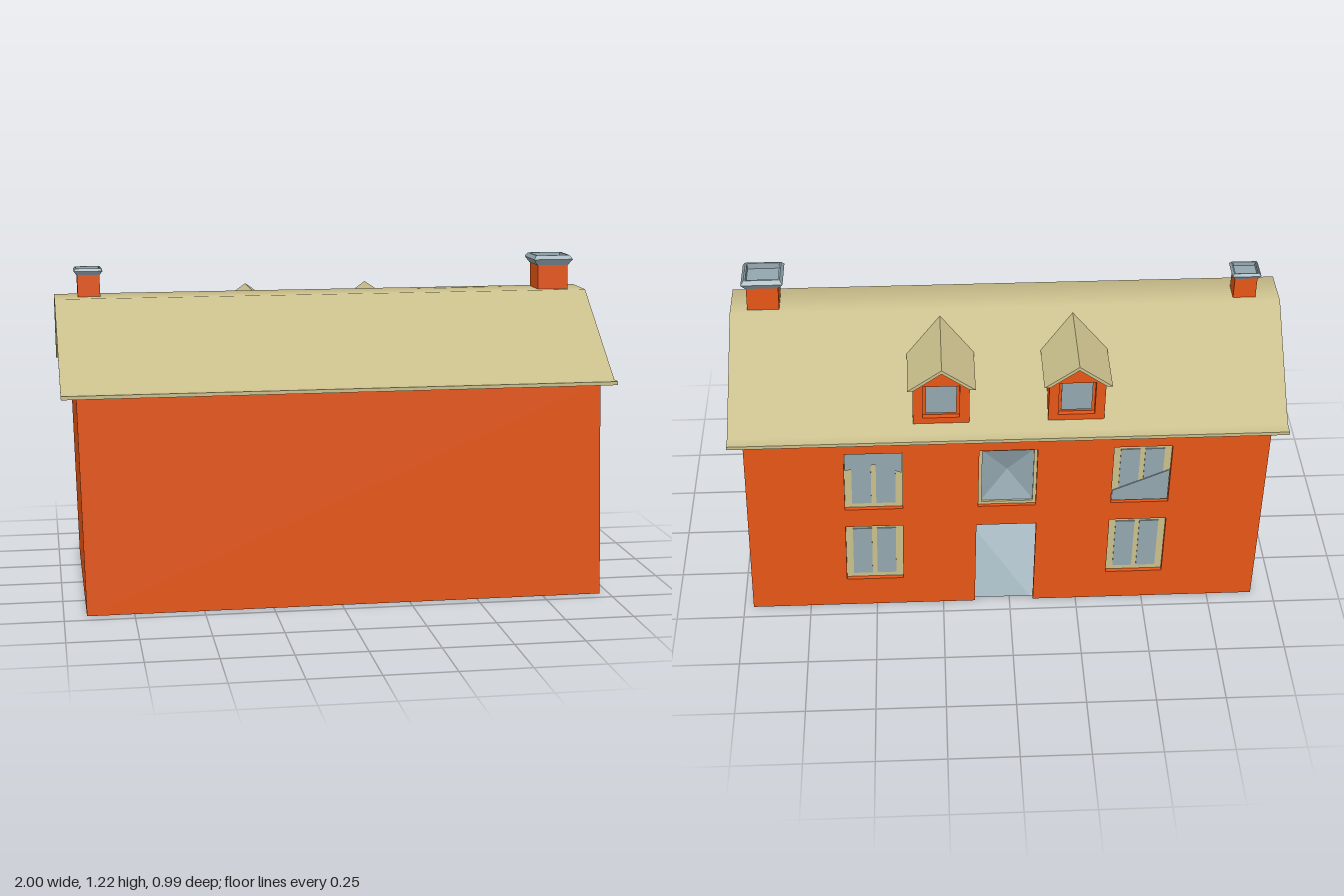
import * as THREE from 'three';

const material = (name, color) => {
  const m = new THREE.MeshStandardMaterial({ color });
  m.name = name;
  return m;
};

const shapeOf = (pts) => new THREE.Shape(pts.map(([x, y]) => new THREE.Vector2(x, y)));
const rect = (cx, y0, y1, w) => [[cx - w / 2, y0], [cx + w / 2, y0], [cx + w / 2, y1], [cx - w / 2, y1]];
const extrude = (shape, depth) => new THREE.ExtrudeGeometry(shape, { depth, bevelEnabled: false });
const box = (w, h, d, x, y, z) => new THREE.BoxGeometry(w, h, d).translate(x, y, z);

// Extrudes a [z, y] profile along x from x0 to x1
const extrudeX = (pts, x0, x1) =>
  extrude(shapeOf(pts.map(([z, y]) => [-z, y])), x1 - x0).rotateY(Math.PI / 2).translate(x0, 0, 0);

const flat = (geo) => {
  const g = geo.index ? geo.toNonIndexed() : geo;
  g.computeVertexNormals();
  return g;
};

export function createModel() {
  const house = new THREE.Group();
  house.name = 'house';
  const brick = material('brick orange', 0xe65516);
  const tan = material('roof tan', 0xcabf8c);
  const grey = material('slate grey', 0x93a6af);
  const greySheet = material('interior grey', 0x93a6af);
  greySheet.side = THREE.DoubleSide;

  const add = (name, geo, mat, parent = house) => {
    // Whole building leans slightly sideways with height
    const p = geo.attributes.position;
    for (let i = 0; i < p.count; i++) p.setX(i, p.getX(i) + 0.025 * (0.93 - p.getY(i)));
    const mesh = new THREE.Mesh(geo, mat);
    mesh.name = name;
    parent.add(mesh);
    return mesh;
  };

  // Outer walls, open underneath
  const xL = -0.942, xR = 0.943;
  const gable = [[-0.445, 0], [0.45, 0], [0.45, 0.787], [0.08, 1.075], [-0.08, 1.075], [-0.445, 0.787]];
  add('rightGable', extrudeX(gable, xL, xL + 0.01), brick);
  add('leftGable', extrudeX(gable, xR - 0.01, xR), brick);
  add('plainWall', box(xR - xL, 0.795, 0.01, (xL + xR) / 2, 0.3975, 0.445), brick);

  // Wall with doorway and window openings
  const facade = shapeOf([
    [xL, 0], [-0.112, 0], [-0.112, 0.372], [0.108, 0.372], [0.108, 0], [xR, 0], [xR, 0.795], [xL, 0.795],
  ]);
  const W = 0.21, H = 0.255;
  const windows = [[0.483, 0.125], [-0.487, 0.125], [0.483, 0.46], [-0.002, 0.46], [-0.487, 0.46]];
  for (const [x, y] of windows) facade.holes.push(new THREE.Path(shapeOf(rect(x, y, y + H, W)).getPoints()));
  add('facade', extrude(facade, 0.018).translate(0, 0, -0.445), brick);

  // Windows: tan panel with two tall panes; the middle one is a faceted fan
  for (const [x, y] of windows) {
    const win = new THREE.Group();
    win.name = 'window';
    house.add(win);
    const cy = y + H / 2;
    if (Math.abs(x) > 0.1) {
      add('windowPanel', box(W + 0.01, H + 0.01, 0.008, x, cy, -0.425), tan, win);
      for (const s of [-1, 1]) add('pane', box(0.07, 0.215, 0.006, x + s * 0.044, cy, -0.43), grey, win);
    } else {
      const frame = shapeOf(rect(x, y - 0.005, y + H + 0.005, W + 0.01));
      frame.holes.push(new THREE.Path(shapeOf(rect(x, y + 0.012, y + H - 0.012, W - 0.024)).getPoints()));
      add('windowFrame', extrude(frame, 0.008).translate(0, 0, -0.432), tan, win);
      const fan = new THREE.ConeGeometry(Math.SQRT1_2, 0.04, 4, 1, true);
      fan.rotateY(Math.PI / 4).rotateX(Math.PI / 2).scale(W, H, 1).translate(x, cy, -0.408);
      add('facetedPane', flat(fan), greySheet, win);
    }
  }

  // Slanted grey sheets across the upper side windows
  const shards = [
    [[0.585, 0.71], [0.381, 0.71], [0.381, 0.62], [0.48, 0.66], [0.585, 0.635]],
    [[-0.59, 0.465], [-0.385, 0.465], [-0.385, 0.51], [-0.5, 0.56], [-0.59, 0.6]],
  ];
  for (const s of shards) add('windowSheet', extrude(shapeOf(s), 0.004).translate(0, 0, -0.437), grey);

  // Crumpled inner floor rising from the doorway, and the storey above it
  const K = [0.935, 0.002, -0.43], A = [0.935, 0.002, 0], B = [0.3, 0.002, 0.44], C = [0.09, 0.002, 0.44];
  const D = [0.22, 0.18, 0], E = [-0.83, 0.002, 0.44], F = [-0.56, 0.33, 0], G = [-0.93, 0.002, -0.43];
  const S = [-0.86, 0.18, 0.3], M = [-0.1, 0.002, -0.43];
  const sheet = new THREE.BufferGeometry();
  const tris = [A, B, D, K, A, D, B, C, D, D, E, F, E, S, F, S, G, F, K, D, M, D, F, M, F, G, M];
  sheet.setAttribute('position', new THREE.Float32BufferAttribute(tris.flat(), 3));
  add('innerFloor', flat(sheet), greySheet);
  add('innerCeiling', box(1.86, 0.008, 0.85, 0, 0.42, 0), grey);

  // Main roof: top normals are shared across ridge and eave bends for soft shading
  const roofHalf = [[0.08, 1.087], [0.45, 0.803], [0.497, 0.803], [0.497, 0.79], [0.445, 0.79], [0.076, 1.074]];
  const mirror = roofHalf.map(([z, y]) => [-z, y]).reverse();
  const roof = extrudeX([...roofHalf, ...mirror], -0.995, 0.995);
  const rp = roof.attributes.position, rn = roof.attributes.normal;
  for (let i = 0; i < rp.count; i++) {
    if (rn.getY(i) < 0.5) continue;
    const tilt = Math.abs(rp.getZ(i)) > 0.48 ? 0 : 0.33 * Math.sign(rp.getZ(i));
    rn.setXYZ(i, 0, Math.sqrt(1 - tilt * tilt), tilt);
  }
  add('mainRoof', roof, tan);

  // Dormers
  for (const x of [-0.24, 0.24]) {
    const dormer = new THREE.Group();
    dormer.name = 'dormer';
    house.add(dormer);
    const face = shapeOf([[-0.1, 0.8], [0.1, 0.8], [0.1, 0.99], [0, 1.06], [-0.1, 0.99]]);
    face.holes.push(new THREE.Path(shapeOf(rect(0, 0.85, 0.985, 0.13)).getPoints()));
    add('dormerFace', extrude(face, 0.025).translate(x, 0, -0.42), brick, dormer);
    add('dormerSides', extrudeX([[-0.4, 0.82], [-0.4, 0.99], [-0.19, 0.99]], x - 0.1, x + 0.1), brick, dormer);
    add('dormerPane', box(0.11, 0.115, 0.006, x, 0.9175, -0.402), grey, dormer);

    // Gabled cover whose back end follows the main slope
    const cover = extrude(shapeOf([
      [-0.12, 0.985], [-0.1, 0.985], [0, 1.056], [0.1, 0.985], [0.12, 0.985], [0, 1.07],
    ]), 0.3).translate(x, 0, -0.445);
    const p = cover.attributes.position;
    for (let i = 0; i < p.count; i++) {
      if (p.getZ(i) > -0.3) p.setZ(i, -0.075 - (1.087 - p.getY(i)) * 1.28);
    }
    add('dormerRoof', flat(cover), tan, dormer);
  }

  // Chimneys with flared, hollow caps
  const capProfile = [[0.8, 0], [1, 0.6], [0.86, 1], [0.78, 1], [0.76, 0.4], [0, 0.4]];
  const chimneys = [
    { x: 0.876, z: -0.003, w: 0.115, d: 0.112, top: 1.178, cw: 0.15, cd: 0.142, ch: 0.037 },
    { x: -0.868, z: -0.017, w: 0.082, d: 0.074, top: 1.167, cw: 0.105, cd: 0.096, ch: 0.024 },
  ];
  for (const c of chimneys) {
    const chimney = new THREE.Group();
    chimney.name = 'chimney';
    house.add(chimney);
    add('chimneyStack', box(c.w, c.top - 1.06, c.d, c.x, (c.top + 1.06) / 2, c.z), brick, chimney);
    const cap = new THREE.LatheGeometry(
      capProfile.map(([r, y]) => new THREE.Vector2(r * Math.SQRT1_2, y)), 4, Math.PI / 4);
    cap.scale(c.cw, c.ch, c.cd).translate(c.x, c.top, c.z);
    add('chimneyCap', flat(cap), grey, chimney);
  }

  return house;
}
